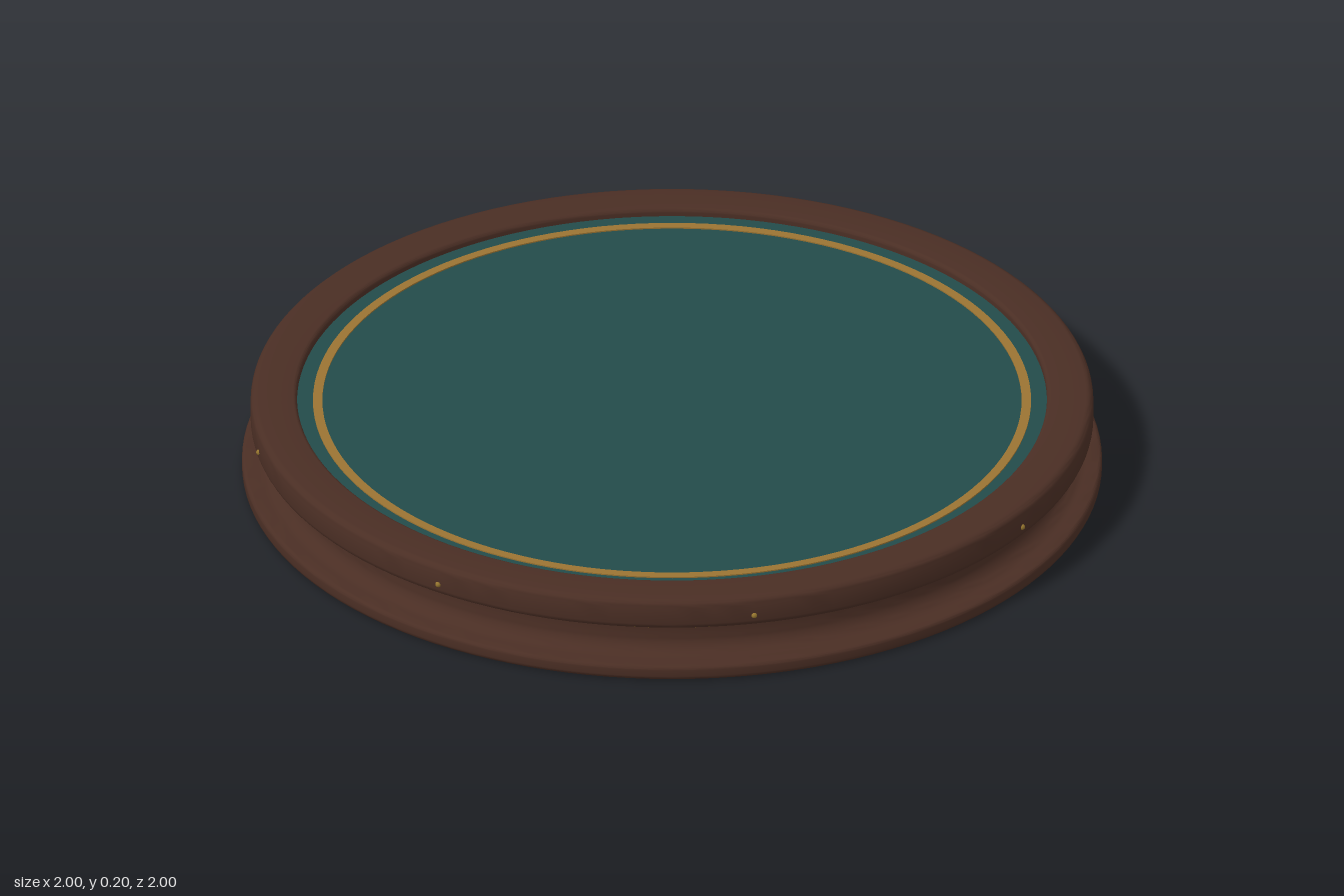
import * as THREE from 'three';
import { toCreasedNormals } from 'three/addons/utils/BufferGeometryUtils.js';

const SEGMENTS = 128;

function material(name, color) {
  const m = new THREE.MeshStandardMaterial({ color });
  m.name = name;
  return m;
}

// Rounded corner or cove: points along an arc in the (radius, height) plane
function arc(r, y, radius, from, to, steps = 5) {
  const points = [];
  for (let i = 0; i <= steps; i++) {
    const a = THREE.MathUtils.degToRad(from + ((to - from) * i) / steps);
    points.push([r + radius * Math.cos(a), y + radius * Math.sin(a)]);
  }
  return points;
}

export function createModel() {
  const model = new THREE.Group();
  model.name = 'roundDisplayBase';

  const wood = material('walnut wood', 0x4a2e24);
  const felt = material('teal felt', 0x234b4a);
  const inlay = material('gold inlay', 0x9a7332);
  const brass = material('brass', 0x94742e);

  function add(name, geometry, mat, parent = model) {
    const mesh = new THREE.Mesh(geometry, mat);
    mesh.name = name;
    parent.add(mesh);
    return mesh;
  }

  function turned(name, profile, mat) {
    const points = profile.map(([r, y]) => new THREE.Vector2(r, y));
    return add(name, toCreasedNormals(new THREE.LatheGeometry(points, SEGMENTS), 0.6), mat);
  }

  // Foot with a rounded edge, a small step and a cove up to the neck
  turned('foot', [
    [0, 0], [0.985, 0],
    ...arc(0.988, 0.012, 0.012, -90, 0),
    ...arc(0.99, 0.027, 0.01, 0, 90),
    [0.965, 0.037],
    ...arc(0.965, 0.079, 0.042, 270, 180, 8),
    [0.923, 0.1], [0.915, 0.1], [0.915, 0.128],
  ], wood);

  // Brass line around the neck
  turned('brassBand', [
    [0.91, 0.1], [0.925, 0.1], [0.929, 0.105], [0.925, 0.11], [0.91, 0.11],
  ], brass);

  // Overhanging rim with softened edges and a recess for the felt
  turned('rim', [
    [0.9, 0.125], [0.965, 0.125],
    ...arc(0.965, 0.14, 0.015, -90, 0),
    ...arc(0.962, 0.182, 0.018, 0, 90),
    ...arc(0.882, 0.19, 0.01, 90, 180),
    [0.872, 0.175],
  ], wood);

  // Felt panel and its inlaid ring
  const panel = add('feltPanel', new THREE.CircleGeometry(0.875, SEGMENTS), felt);
  panel.rotation.x = -Math.PI / 2;
  panel.position.y = 0.181;
  turned('inlayRing', [
    [0.835, 0.18], [0.835, 0.184], [0.813, 0.184], [0.813, 0.18],
  ], inlay);

  // Small brass studs around the rim
  const studs = new THREE.Group();
  studs.name = 'rimStuds';
  model.add(studs);
  const studGeometry = new THREE.SphereGeometry(0.007, 12, 8);
  for (let i = 0; i < 8; i++) {
    const a = ((i + 0.5) * Math.PI) / 4;
    add('stud', studGeometry, brass, studs)
      .position.set(0.979 * Math.sin(a), 0.153, 0.979 * Math.cos(a));
  }

  return model;
}
